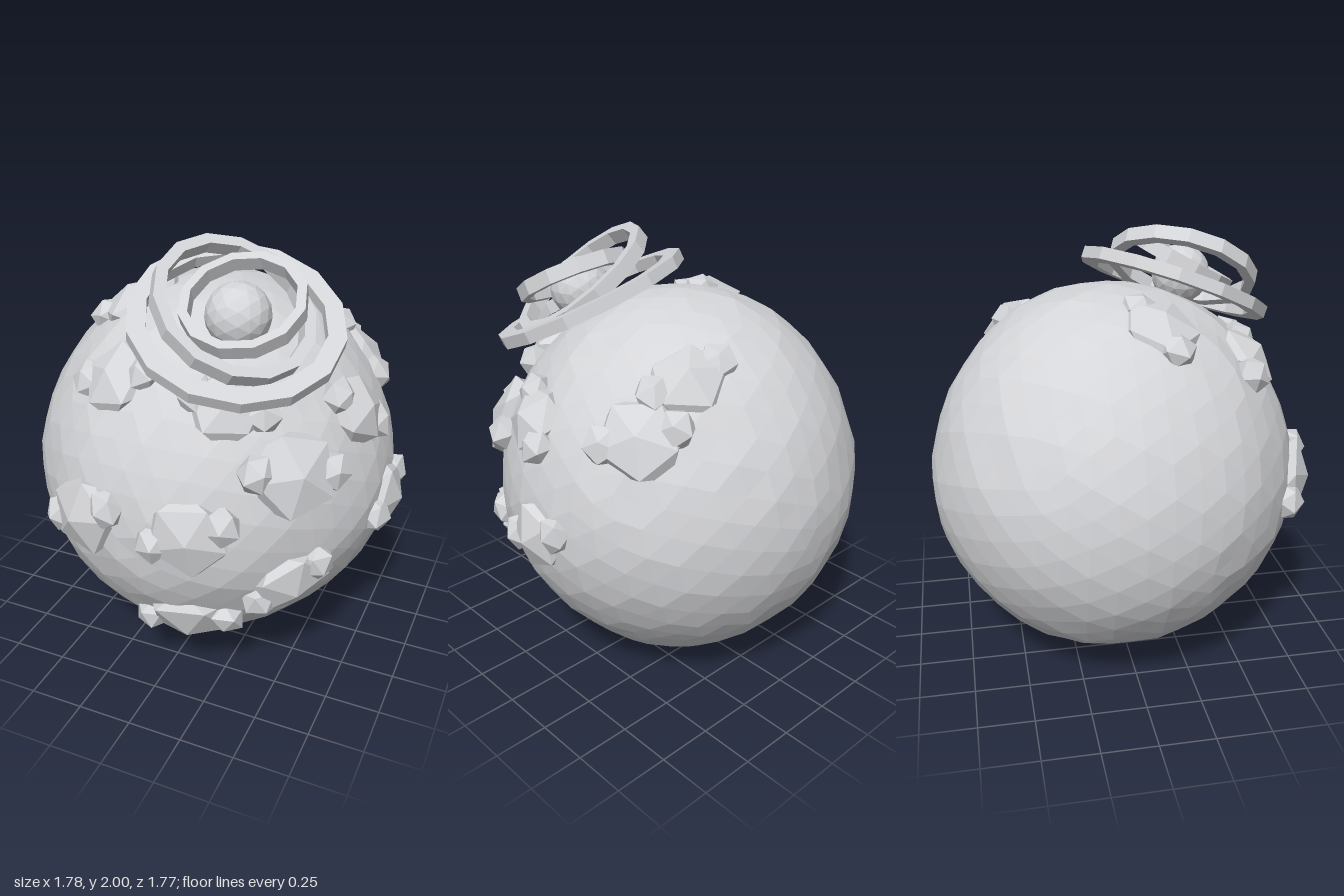
import * as THREE from 'three';

const stone = new THREE.MeshStandardMaterial({ color: 0xd4d5d8, flatShading: true });
stone.name = 'paleStone';

const CENTRE = new THREE.Vector3(-0.02, 0.87, -0.03);

function makeMesh(name, geometry) {
  const mesh = new THREE.Mesh(geometry, stone);
  mesh.name = name;
  return mesh;
}

// Faceted ball, one corner towards +z, pushed in and out by a smooth rule
function lumpyBall(detail, amount, freq, seed) {
  const geo = new THREE.IcosahedronGeometry(1, detail);
  geo.rotateX(Math.atan(2 / (1 + Math.sqrt(5))));
  const pos = geo.attributes.position;
  const v = new THREE.Vector3();
  for (let i = 0; i < pos.count; i++) {
    v.fromBufferAttribute(pos, i);
    const n = Math.sin(v.x * freq + seed * 1.7) + Math.sin(v.y * freq * 1.13 + seed * 2.3)
      + Math.sin(v.z * freq * 0.91 + seed * 3.1);
    const chip = Math.sin(v.x * 17 + v.y * 23 + seed) * Math.sin(v.z * 19 - v.y * 13);
    v.multiplyScalar(1 + amount * (n / 3 + chip * 0.35));
    pos.setXYZ(i, v.x, v.y, v.z);
  }
  geo.computeVertexNormals();
  return geo;
}

// Flat band of rectangular section, turned so its axis follows n
function ring(name, centre, n, outer, width, height, sides) {
  const h = height / 2, inner = outer - width;
  const profile = [[inner, -h], [outer, -h], [outer, h], [inner, h], [inner, -h]]
    .map(([x, y]) => new THREE.Vector2(x, y));
  const mesh = makeMesh(name, new THREE.LatheGeometry(profile, sides));
  mesh.position.set(...centre);
  mesh.quaternion.setFromUnitVectors(new THREE.Vector3(0, 1, 0), new THREE.Vector3(...n).normalize());
  return mesh;
}

// One broad rock with a small rock on either side, lying flat on the ground
function rockCluster([x, y, z, size, angle], seed) {
  const g = new THREE.Group();
  g.name = 'rockCluster';
  const dir = new THREE.Vector3(x, y, z).sub(CENTRE).normalize();
  g.position.copy(CENTRE).addScaledVector(dir, 0.825);
  g.lookAt(g.position.clone().add(dir));
  const rock = makeMesh('rock', lumpyBall(0, 0.1, 4.2, seed));
  rock.rotation.z = seed;
  rock.scale.set(size * 1.1, size * 1.02, 0.1);
  g.add(rock);
  for (const side of [0, 1]) {
    const a = angle + side * 3;
    const small = makeMesh('smallRock', lumpyBall(0, 0.08, 4.2, seed + 1.3 + side * 1.3));
    small.position.set(Math.cos(a) * size * 0.86, Math.sin(a) * size * 0.78, 0.01);
    small.scale.set(0.088, 0.093, 0.075);
    g.add(small);
  }
  return g;
}

export function createModel() {
  const model = new THREE.Group();
  model.name = 'ringedPlanetoid';

  // Planet body, slightly pointed underneath
  const body = lumpyBall(7, 0.018, 4.5, 1);
  const pos = body.attributes.position;
  for (let i = 0; i < pos.count; i++) {
    const k = Math.max(0, -pos.getY(i) - 0.75) / 0.25;
    pos.setX(i, pos.getX(i) * (1 - 0.06 * k) + 0.1 * k);
  }
  body.computeBoundingBox();
  body.scale(0.85, 0.87 / -body.boundingBox.min.y, 0.845);
  body.computeVertexNormals();
  const planet = makeMesh('planetBody', body);
  planet.position.copy(CENTRE);
  model.add(planet);

  // Rock clusters: x, y, z, size, direction of the small rocks
  const clusters = [
    [-0.3, 0.88, 0.76, 0.2, 0.55],
    [0.2, 0.9, 0.78, 0.18, 0.45],
    [0.57, 1.14, 0.52, 0.2, -0.1],
    [0.56, 0.6, 0.52, 0.18, 0.75],
    [0.13, 0.35, 0.63, 0.2, 0.25],
    [-0.23, 1.45, 0.55, 0.17, 0.5],
    [0.28, 1.42, 0.55, 0.17, -0.3],
    [0.7, 1.28, 0.11, 0.16, -0.75],
    [0.83, 0.81, -0.03, 0.16, 0.45],
    [0.34, 1.54, -0.46, 0.18, 0.6],
    [0.6, 1.34, -0.44, 0.18, 0.4],
    [-0.35, 1.63, 0.12, 0.18, 1.67],
  ];
  clusters.forEach((spec, i) => model.add(rockCluster(spec, i * 2.1 + 0.5)));

  // Floating core with three tilted rings
  const core = makeMesh('floatingCore', new THREE.IcosahedronGeometry(0.14, 2));
  core.position.set(0.24, 1.725, 0.35);
  model.add(
    core,
    ring('outerRing', [0.215, 1.68, 0.31], [0.24, 0.9, 0.36], 0.46, 0.08, 0.055, 14),
    ring('middleRing', [0.225, 1.755, 0.355], [0.52, 0.79, 0.32], 0.355, 0.05, 0.065, 14),
    ring('innerRing', [0.265, 1.78, 0.36], [0.03, 0.87, 0.48], 0.265, 0.04, 0.065, 12),
  );
  return model;
}
